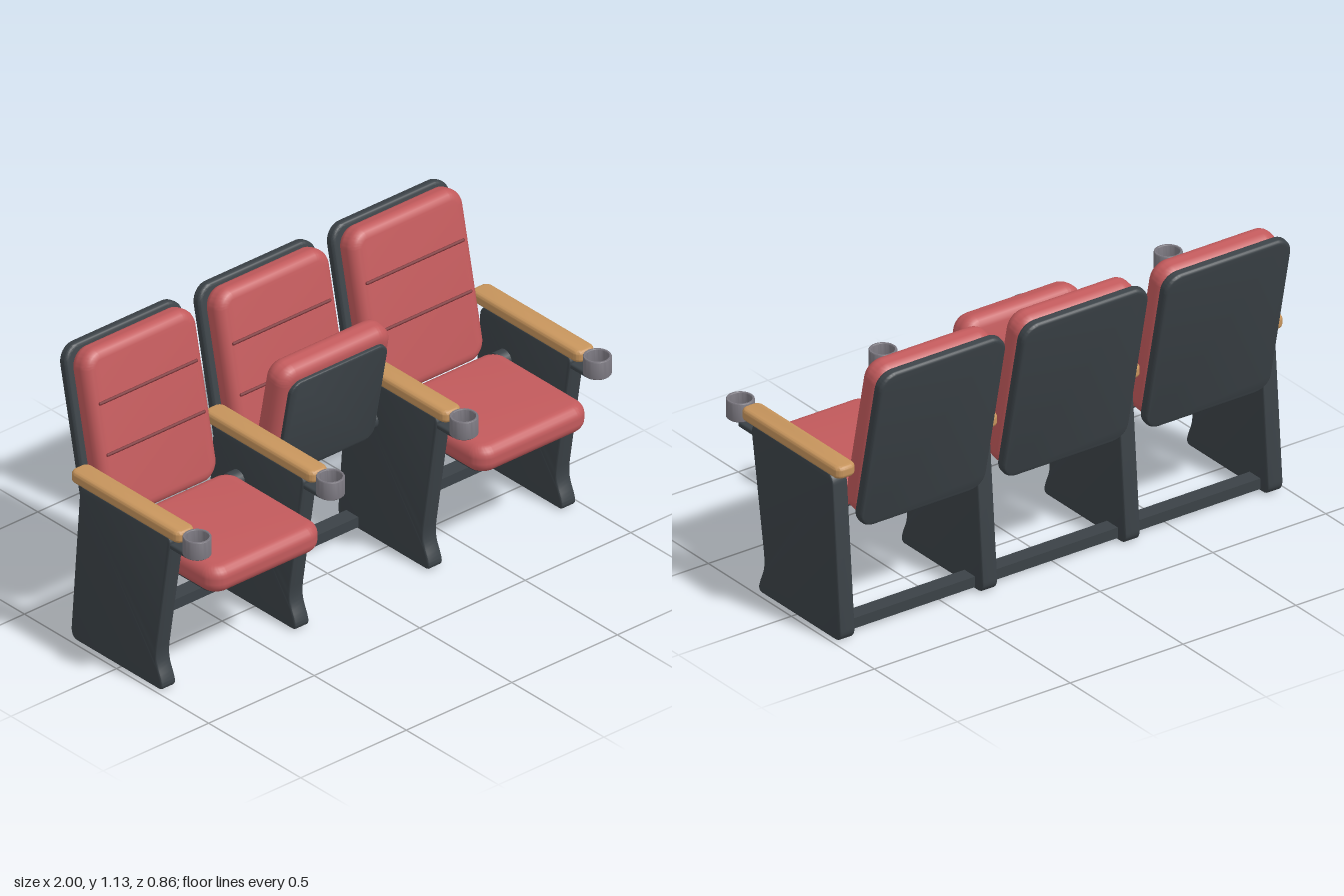
import * as THREE from 'three';
import { toCreasedNormals } from 'three/addons/utils/BufferGeometryUtils.js';
import { RoundedBoxGeometry } from 'three/addons/geometries/RoundedBoxGeometry.js';

const material = (name, color) => Object.assign(new THREE.MeshStandardMaterial({ color }), { name });

// Extrude a shape to total depth d, with rounded edges of radius b, centred on z
function pad(shape, d, b) {
  const geo = new THREE.ExtrudeGeometry(shape, {
    depth: d - 2 * b, bevelEnabled: true, bevelSize: b, bevelThickness: b, bevelSegments: 5, curveSegments: 8,
  });
  geo.translate(0, 0, -(d - 2 * b) / 2);
  return toCreasedNormals(geo, 0.6);
}

// Rounded slab of outer size w x h x d: corner radius r, edge radius b
function slab(w, h, d, r, b) {
  const x = w / 2 - b, y = h / 2 - b, c = r - b;
  const s = new THREE.Shape();
  s.moveTo(-x + c, -y);
  s.lineTo(x - c, -y);
  s.absarc(x - c, -y + c, c, -Math.PI / 2, 0);
  s.absarc(x - c, y - c, c, 0, Math.PI / 2);
  s.absarc(-x + c, y - c, c, Math.PI / 2, Math.PI);
  s.absarc(-x + c, -y + c, c, Math.PI, Math.PI * 1.5);
  return pad(s, d, b);
}

export function createModel() {
  const red = material('red upholstery', 0xc25a5c);
  const seamRed = material('dark red seam', 0x7d3438);
  const dark = material('charcoal frame', 0x3b4247);
  const wood = material('wood', 0xc6945c);
  const grey = material('grey plastic', 0x79767e);

  const model = new THREE.Group();
  model.name = 'theaterSeatRow';
  const add = (parent, name, geo, mat, x = 0, y = 0, z = 0) => {
    const mesh = new THREE.Mesh(geo, mat);
    mesh.name = name;
    mesh.position.set(x, y, z);
    parent.add(mesh);
    return mesh;
  };
  const group = (parent, name, x, y, z) => {
    const g = new THREE.Group();
    g.name = name;
    g.position.set(x, y, z);
    parent.add(g);
    return g;
  };

  // Side panel profile, drawn with z to the right and y up, inset by its bevel
  const b = 0.008;
  const side = new THREE.Shape();
  side.moveTo(-0.235, b);
  side.lineTo(0.205, b);
  side.quadraticCurveTo(0.222, b, 0.215, 0.03);
  side.bezierCurveTo(0.205, 0.07, 0.175, 0.09, 0.188, 0.17);
  side.lineTo(0.259, 0.615);
  side.quadraticCurveTo(0.263, 0.647, 0.25, 0.647);
  side.lineTo(-0.185, 0.647);
  side.quadraticCurveTo(-0.213, 0.647, -0.217, 0.615);
  side.lineTo(-0.262, 0.045);
  side.quadraticCurveTo(-0.264, b, -0.235, b);
  const panelGeo = pad(side, 0.066, b).rotateY(-Math.PI / 2);

  const armGeo = slab(0.088, 0.595, 0.05, 0.03, 0.016).rotateX(Math.PI / 2);
  const bracketGeo = new RoundedBoxGeometry(0.06, 0.022, 0.14, 3, 0.008);
  const cupProfile = [[0, 0], [0.048, 0], [0.052, 0.004], [0.052, 0.072], [0.05, 0.075],
    [0.044, 0.075], [0.042, 0.072], [0.042, 0.012], [0, 0.012]];
  const cupGeo = toCreasedNormals(
    new THREE.LatheGeometry(cupProfile.map(([x, y]) => new THREE.Vector2(x, y)), 32), 0.6);

  // Four side panels with armrests and cup holders
  for (let i = 0; i < 4; i++) {
    const stand = group(model, 'stand', -0.948 + i * 0.632, 0, 0);
    add(stand, 'sidePanel', panelGeo, dark);
    add(stand, 'armrest', armGeo, wood, 0, 0.68, 0.0275);
    add(stand, 'cupBracket', bracketGeo, dark, 0, 0.619, 0.285);
    add(stand, 'cupHolder', cupGeo, grey, 0, 0.63, 0.378);
  }

  // Floor bars between the panels
  for (const x of [-0.632, 0, 0.632]) {
    add(model, 'floorBar', new THREE.BoxGeometry(0.58, 0.042, 0.065), dark, x, 0.03, -0.19);
  }

  const seatGeo = slab(0.53, 0.53, 0.11, 0.07, 0.045).rotateX(Math.PI / 2);
  const panGeo = slab(0.46, 0.44, 0.03, 0.05, 0.008).rotateX(Math.PI / 2);
  const shellGeo = slab(0.56, 0.69, 0.042, 0.07, 0.014);
  const backGeo = slab(0.535, 0.67, 0.1, 0.075, 0.04);
  const seamGeo = new THREE.CapsuleGeometry(0.007, 0.455, 4, 10).rotateZ(Math.PI / 2);
  const hingeGeo = new THREE.CylinderGeometry(0.037, 0.037, 0.05, 24).rotateZ(Math.PI / 2);

  // Three chairs, the middle one with its seat folded up
  [-0.632, 0, 0.632].forEach((x, i) => {
    const chair = group(model, 'chair', x, 0, 0);

    const back = group(chair, 'backrest', 0, 0.795, -0.27);
    back.rotation.x = -THREE.MathUtils.degToRad(12);
    add(back, 'backCushion', backGeo, red);
    add(back, 'backShell', shellGeo, dark, 0, 0, -0.068);
    for (const y of [0.133, -0.066]) add(back, 'backSeam', seamGeo, seamRed, 0, y, 0.049);

    const seat = group(chair, 'seat', 0, 0.485, -0.08);
    if (i === 1) seat.rotation.x = -THREE.MathUtils.degToRad(79);
    add(seat, 'seatCushion', seatGeo, red, 0, 0, 0.225);
    add(seat, 'seatPan', panGeo, dark, 0, -0.055, 0.22);

    for (const s of [-1, 1]) add(chair, 'hinge', hingeGeo, dark, s * 0.262, 0.495, -0.085);
  });

  return model;
}
